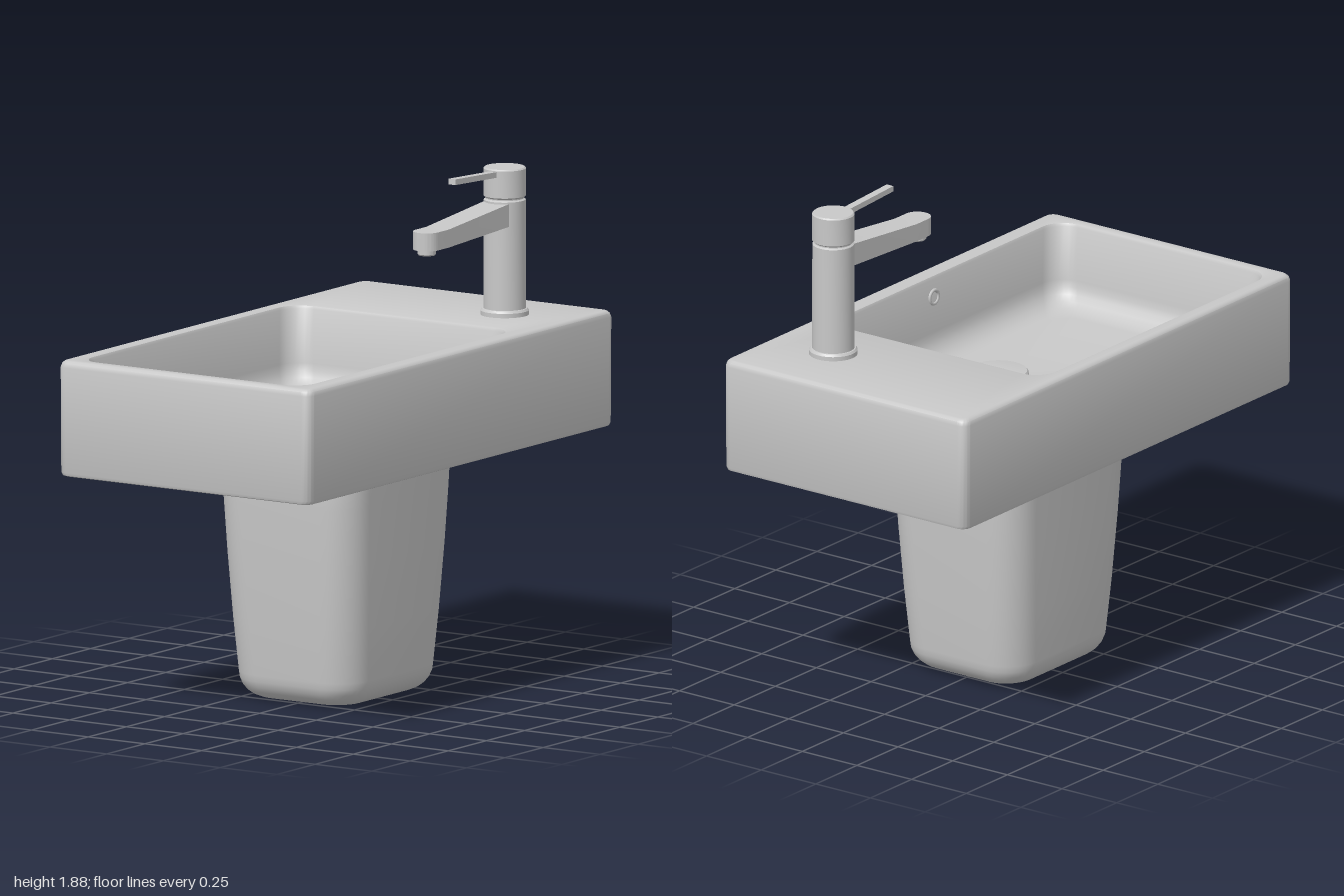
import * as THREE from 'three';
import { toCreasedNormals } from 'three/addons/utils/BufferGeometryUtils.js';

const ceramic = new THREE.MeshStandardMaterial({ color: 0xc8c8c8 });
ceramic.name = 'light grey';

const CORNER_STEPS = 8;

// Rounded rectangle at height y: half sizes hw, hd, corner radius r, centre cx, cz.
function ring([y, hw, hd, r, cx = 0, cz = 0]) {
  const points = [];
  for (let q = 0; q < 4; q++) {
    const sx = q === 0 || q === 3 ? 1 : -1;
    const sz = q < 2 ? 1 : -1;
    for (let i = 0; i <= CORNER_STEPS; i++) {
      const a = (q + i / CORNER_STEPS) * Math.PI / 2;
      points.push(cx + sx * (hw - r) + r * Math.cos(a), y, cz + sz * (hd - r) + r * Math.sin(a));
    }
  }
  return points;
}

// Skin through a stack of rounded rectangles.
function loft(sections, crease = 0.6) {
  const n = 4 * (CORNER_STEPS + 1);
  const index = [];
  for (let i = 0; i < sections.length - 1; i++) {
    for (let j = 0; j < n; j++) {
      const a = i * n + j, b = i * n + (j + 1) % n;
      index.push(a, a + n, b, b, a + n, b + n);
    }
  }
  const geometry = new THREE.BufferGeometry();
  geometry.setAttribute('position', new THREE.Float32BufferAttribute(sections.flatMap(ring), 3));
  geometry.setIndex(index);
  return toCreasedNormals(geometry, crease);
}

function add(parent, name, geometry, x = 0, y = 0, z = 0) {
  const mesh = new THREE.Mesh(geometry, ceramic);
  mesh.name = name;
  mesh.position.set(x, y, z);
  parent.add(mesh);
  return mesh;
}

// Turned part from [radius, y] pairs, listed bottom to top.
function turned(profile) {
  const points = profile.map(([r, y]) => new THREE.Vector2(r, y));
  return toCreasedNormals(new THREE.LatheGeometry(points, 40), 0.6);
}

function basinGeometry() {
  const s = [
    [0.9, 0, 0, 0], [0.9, 0.54, 0.985, 0.03], [0.904, 0.55, 0.995, 0.035],
    [0.915, 0.554, 0.999, 0.035], [1.305, 0.556, 1, 0.035],
    [1.32, 0.552, 0.996, 0.035], [1.328, 0.543, 0.987, 0.03],
    [1.33, 0.535, 0.978, 0.028],
  ];
  // bowl, centred towards the front
  const bowl = [[1.33, 0.496, 0.707], [1.327, 0.489, 0.7], [1.317, 0.484, 0.695], [1.12, 0.47, 0.67]];
  for (const [y, hw, hd] of bowl) s.push([y, hw, hd, 0.09, -0.005, 0.247]);
  // curve from the bowl walls into the floor
  for (let i = 1; i <= 6; i++) {
    const a = i / 6 * Math.PI / 2, inset = 0.1 * (1 - Math.cos(a));
    s.push([1.12 - 0.1 * Math.sin(a), 0.47 - inset, 0.67 - inset, 0.09, -0.005, 0.247]);
  }
  s.push([1.015, 0, 0, 0, 0.18, 0.18]);
  return loft(s);
}

function pedestalGeometry() {
  const s = [[0, 0, 0, 0]];
  // rounded foot
  for (let i = 0; i <= 6; i++) {
    const a = i / 6 * Math.PI / 2, inset = 0.085 * (1 - Math.sin(a));
    s.push([0.005 + 0.095 * (1 - Math.cos(a)), 0.272 - inset, 0.322 - inset, 0.13 - inset * 0.5]);
  }
  s.push([0.3, 0.285, 0.34, 0.13], [0.55, 0.299, 0.357, 0.13],
    [0.75, 0.308, 0.368, 0.13], [0.83, 0.312, 0.37, 0.13], [0.905, 0.315, 0.366, 0.13]);
  return loft(s, 0.9);
}

// Spout drawn in plan with a round tip, then its top and bottom follow a slope.
function spoutGeometry() {
  const reach = 0.51, w = 0.05;
  const shape = new THREE.Shape();
  shape.moveTo(-w - 0.006, 0);
  shape.lineTo(w + 0.006, 0);
  shape.lineTo(w, 0.44);
  shape.lineTo(w, reach);
  shape.absarc(0, reach, w, 0, Math.PI, false);
  shape.lineTo(-w, 0.44);
  const geometry = new THREE.ExtrudeGeometry(shape, { depth: 1, bevelEnabled: false, curveSegments: 16 });
  const p = geometry.attributes.position;
  for (let i = 0; i < p.count; i++) {
    const along = p.getY(i), t = Math.min(along / 0.44, 1);
    const bottom = 1.67 - 0.022 * t, top = 1.757 - 0.042 * t;
    // swapping two axes flips the faces, so mirror x as well
    p.setXYZ(i, -p.getX(i), p.getZ(i) > 0.5 ? top : bottom, along);
  }
  return toCreasedNormals(geometry, 0.5);
}

export function createModel() {
  const model = new THREE.Group();
  model.name = 'washbasin';
  add(model, 'basin', basinGeometry());
  add(model, 'pedestal', pedestalGeometry());

  // drain plug and overflow
  add(model, 'drainPlug', turned([[0.112, 0], [0.112, 0.012], [0.106, 0.02], [0.06, 0.026], [0, 0.028]]), 0.18, 1.01, 0.18);
  const overflow = add(model, 'overflowRing', new THREE.TorusGeometry(0.026, 0.007, 8, 24), 0.475, 1.25, 0.18);
  overflow.rotation.y = Math.PI / 2;

  // tap
  const tap = new THREE.Group();
  tap.name = 'tap';
  tap.position.set(0.272, 0, -0.7);
  model.add(tap);
  add(tap, 'tapFlange', turned([[0.089, 1.325], [0.089, 1.346], [0.083, 1.354], [0.07, 1.356]]));
  add(tap, 'tapBody', turned([[0.078, 1.34], [0.077, 1.757], [0.07, 1.762], [0, 1.762]]));
  add(tap, 'tapHead', turned([[0, 1.766], [0.07, 1.766], [0.078, 1.772], [0.078, 1.873], [0.073, 1.878], [0, 1.878]]));
  add(tap, 'tapNeck', new THREE.CylinderGeometry(0.07, 0.07, 0.03, 32), 0, 1.764, 0);
  add(tap, 'spout', spoutGeometry());
  add(tap, 'aerator', turned([[0, 1.626], [0.03, 1.626], [0.034, 1.631], [0.034, 1.66]]), 0, 0, 0.51);
  const lever = add(tap, 'lever', new THREE.BoxGeometry(0.03, 0.021, 0.31), 0, 1.865, 0.19);
  lever.rotation.x = -0.05;

  return model;
}
